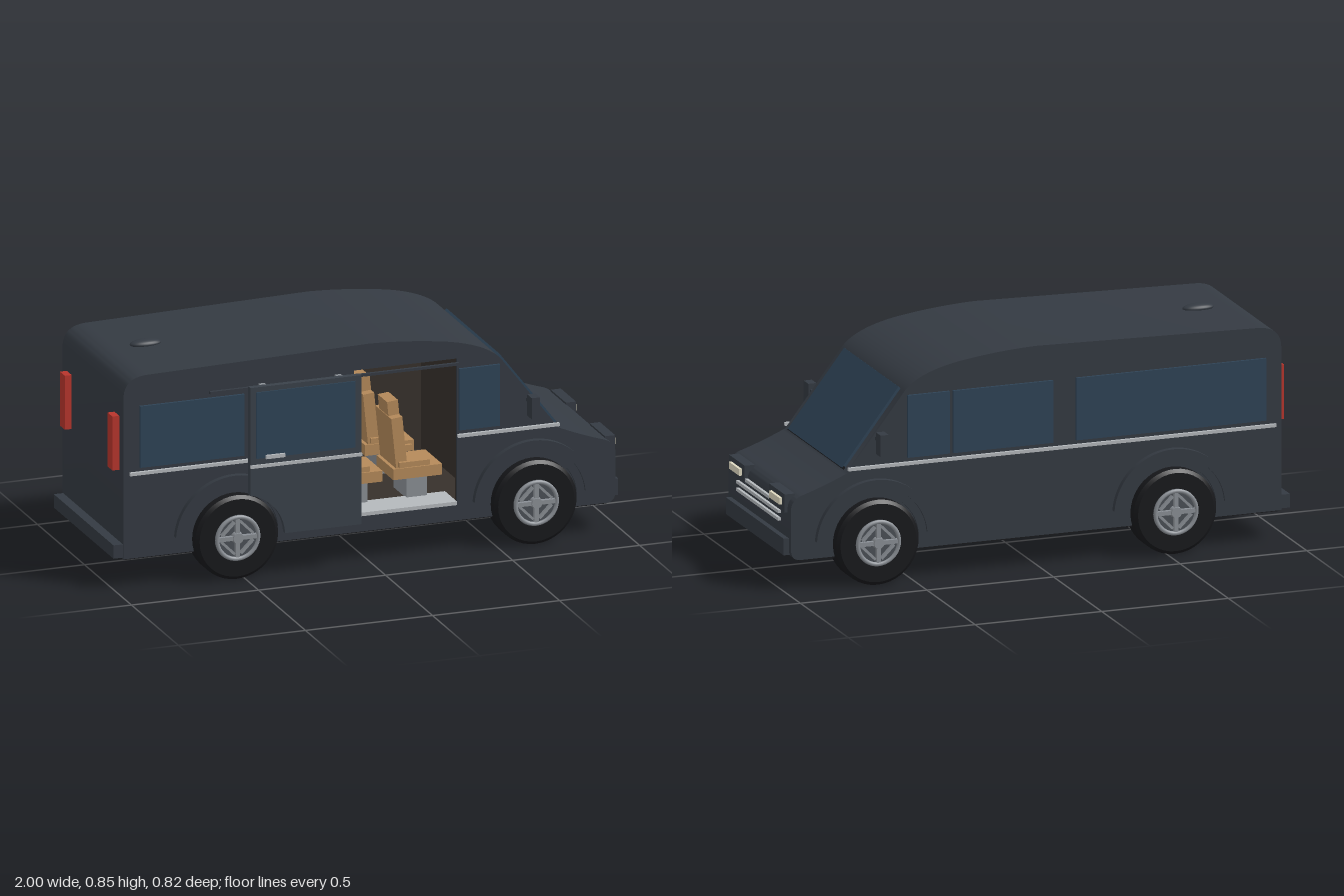
import * as THREE from 'three';
import { toCreasedNormals } from 'three/addons/utils/BufferGeometryUtils.js';

const mat = (color) => new THREE.MeshStandardMaterial({ color });
const paint = mat(0x343a42), glass = mat(0x2e4356), chrome = mat(0xb4b8bc), black = mat(0x17181b);
const tan = mat(0xb58a5a), brown = mat(0x37312b), red = mat(0xb8352c), cream = mat(0xded8c0);
const grey = mat(0x8a8f95), doorPaint = mat(0x3a414a);
const W = 0.324; // half width of the body

export function createModel() {
  const van = new THREE.Group();
  van.name = 'van';
  const body = new THREE.Group();
  body.name = 'vanBody';
  body.position.z = -0.009;
  van.add(body);

  function add(name, geometry, material, parent = body) {
    const m = new THREE.Mesh(geometry, material);
    m.name = name;
    parent.add(m);
    return m;
  }
  // Box given by its limits on each axis
  function box(name, x0, x1, y0, y1, z0, z1, material, parent = body) {
    const m = add(name, new THREE.BoxGeometry(x1 - x0, y1 - y0, Math.abs(z1 - z0)), material, parent);
    m.position.set((x0 + x1) / 2, (y0 + y1) / 2, (z0 + z1) / 2);
    return m;
  }
  // Side-view shape extruded between two z values
  function slab(name, shape, z0, z1, material, parent = body) {
    const g = new THREE.ExtrudeGeometry(shape, { depth: z1 - z0, bevelEnabled: false, curveSegments: 16 });
    g.translate(0, 0, z0);
    return add(name, toCreasedNormals(g, 0.5), material, parent);
  }
  const rect = (x0, x1, y0, y1, Type = THREE.Shape) => new Type([
    [x0, y0], [x1, y0], [x1, y1], [x0, y1]].map(([x, y]) => new THREE.Vector2(x, y)));

  // Side profile of the whole shell
  function profile() {
    const s = new THREE.Shape();
    s.moveTo(-0.963, 0.115);
    s.lineTo(0.94, 0.115);
    s.quadraticCurveTo(0.973, 0.118, 0.973, 0.155);
    s.lineTo(0.973, 0.31);
    s.quadraticCurveTo(0.973, 0.345, 0.93, 0.362);
    s.quadraticCurveTo(0.84, 0.39, 0.75, 0.43);
    s.lineTo(0.53, 0.715);
    s.quadraticCurveTo(0.48, 0.785, 0.31, 0.815);
    s.quadraticCurveTo(0.15, 0.84, 0, 0.843);
    s.lineTo(-0.87, 0.823);
    s.quadraticCurveTo(-0.963, 0.82, -0.963, 0.74);
    s.closePath();
    return s;
  }

  // Shell with a hollow cabin, one closed side and one side with a doorway
  const cabin = [-0.92, 0.45, 0.18, 0.752];
  const doorway = [-0.055, 0.35, 0.18, 0.745];
  const ring = profile();
  ring.holes.push(rect(...cabin, THREE.Path));
  slab('shell', ring, -W + 0.012, W - 0.012, paint);
  slab('rightSide', profile(), -W, -W + 0.012, paint);
  const leftSide = profile();
  leftSide.holes.push(rect(...doorway, THREE.Path));
  slab('leftSide', leftSide, W - 0.012, W, paint);
  box('underside', -0.96, 0.94, 0.111, 0.12, -W + 0.004, W - 0.004, black);

  // Cabin lining
  const lining = rect(...cabin);
  lining.holes.push(rect(-0.91, 0.44, 0.186, 0.745, THREE.Path));
  slab('cabinLining', lining, -0.312, 0.312, brown);
  box('rightLining', -0.92, 0.45, 0.18, 0.75, -0.312, -0.304, brown);
  const leftLining = rect(...cabin);
  leftLining.holes.push(rect(...doorway, THREE.Path));
  slab('leftLining', leftLining, 0.304, 0.312, brown);
  box('cabinTrim', -0.9, 0.44, 0.664, 0.674, -0.304, -0.298, tan);
  box('doorSill', -0.053, 0.348, 0.176, 0.19, 0.2, 0.329, chrome);

  // Two rows of seats
  for (const x of [-0.035, 0.2]) for (const z of [-0.15, 0.15]) {
    const seat = new THREE.Group();
    seat.name = 'seat';
    seat.position.set(x, 0, z);
    body.add(seat);
    box('seatBase', -0.01, 0.07, 0.186, 0.27, -0.07, 0.07, grey, seat);
    box('seatCushion', -0.07, 0.122, 0.27, 0.312, -0.09, 0.09, tan, seat);
    const back = box('seatBack', -0.066, -0.022, 0.3, 0.51, -0.085, 0.085, tan, seat);
    back.rotation.z = 0.1;
    const head = box('headrest', -0.077, -0.034, 0.505, 0.565, -0.05, 0.05, tan, seat);
    head.rotation.z = 0.1;
    for (const s of [-1, 1]) box('armrest', -0.05, 0.07, 0.318, 0.338, s * 0.086, s * 0.1, tan, seat);
  }

  // Side windows
  const pane = (x0, x1, side) => box('sideWindow', x0, x1, 0.467, 0.706, side * (W - 0.002), side * (W + 0.01), glass);
  pane(-0.9, -0.49, 1);
  pane(0.355, 0.515, 1);
  pane(-0.9, -0.15, -1);
  pane(-0.06, 0.335, -1);
  pane(0.35, 0.515, -1);

  // Windshield laid on the sloping front
  const shield = add('windshield', new THREE.BoxGeometry(0.365, 0.014, 0.564), glass);
  shield.position.set(0.639, 0.58, 0);
  shield.rotation.z = -Math.atan2(0.285, 0.22);
  const seal = add('windshieldSeal', new THREE.BoxGeometry(0.012, 0.016, 0.564), black);
  seal.position.set(0.747, 0.437, 0);
  seal.rotation.z = shield.rotation.z;

  // Waistline trim
  const trim = (x0, x1, side) => box('waistTrim', x0, x1, 0.439, 0.451, side * W, side * (W + 0.012), chrome);
  trim(-0.94, 0.75, -1);
  trim(-0.94, -0.055, 1);
  trim(0.35, 0.75, 1);

  // Sliding door, open, cut around the rear wheel
  const wheelY = 0.163, rearX = -0.53, frontX = 0.645, cut = 0.174;
  const door = new THREE.Group();
  door.name = 'slidingDoor';
  body.add(door);
  const panel = new THREE.Shape();
  panel.moveTo(-0.055, 0.172);
  panel.lineTo(-0.055, 0.752);
  panel.lineTo(-0.493, 0.752);
  panel.lineTo(-0.493, 0.333);
  panel.absarc(rearX, wheelY, cut, Math.acos(0.037 / cut), 0.05, true);
  panel.closePath();
  slab('doorPanel', panel, 0.38, 0.403, doorPaint, door);
  box('doorWindow', -0.47, -0.08, 0.475, 0.733, 0.401, 0.408, glass, door);
  box('doorTrim', -0.493, -0.055, 0.439, 0.451, 0.4, 0.41, chrome, door);
  box('doorHandle', -0.435, -0.36, 0.473, 0.487, 0.4, 0.418, chrome, door);
  box('doorRail', -0.63, 0.35, 0.725, 0.735, 0.335, 0.347, paint);
  for (const x of [-0.42, -0.12]) box('doorRoller', x - 0.012, x + 0.012, 0.722, 0.738, W, 0.382, grey);

  // Wheels and arches
  function arch(r0, r1) {
    const s = new THREE.Shape();
    s.absarc(0, 0, r1, 0.08, Math.PI - 0.08, false);
    s.absarc(0, 0, r0, Math.PI - 0.08, 0.08, true);
    s.closePath();
    return s;
  }
  const tyreProfile = [[0.09, -0.049], [0.15, -0.049], [0.163, -0.038], [0.163, 0.038], [0.15, 0.049], [0.09, 0.049], [0.085, 0.03]]
    .map(([x, y]) => new THREE.Vector2(x, y));
  for (const side of [-1, 1]) for (const x of [rearX, frontX]) {
    const g = new THREE.Group();
    g.name = 'wheelAssembly';
    g.position.set(x, wheelY, 0);
    if (side < 0) g.rotation.y = Math.PI;
    body.add(g);
    slab('wheelArch', arch(0.203, 0.235), W - 0.01, 0.346, paint, g);
    slab('innerArch', arch(0.172, 0.203), W - 0.01, 0.336, paint, g);
    const wheel = new THREE.Group();
    wheel.name = 'wheel';
    wheel.position.z = 0.32;
    g.add(wheel);
    const tyre = toCreasedNormals(new THREE.LatheGeometry(tyreProfile, 40), 0.6);
    add('tyre', tyre.rotateX(Math.PI / 2), black, wheel);
    add('wheelDisc', new THREE.CylinderGeometry(0.09, 0.09, 0.076, 32).rotateX(Math.PI / 2), mat(0x4b5056), wheel);
    add('rimRing', new THREE.TorusGeometry(0.081, 0.008, 8, 40), grey, wheel).position.z = 0.05;
    add('hub', new THREE.CylinderGeometry(0.02, 0.024, 0.024, 20).rotateX(Math.PI / 2), grey, wheel).position.z = 0.047;
    // Four spokes with braces between them
    for (let i = 0; i < 4; i++) {
      const spoke = new THREE.Group();
      spoke.name = 'spoke';
      spoke.rotation.z = i * Math.PI / 2;
      wheel.add(spoke);
      box('spokeBar', 0.01, 0.08, -0.008, 0.008, 0.036, 0.054, grey, spoke);
      const brace = box('spokeBrace', -0.035, 0.035, -0.005, 0.005, 0.036, 0.052, grey, spoke);
      brace.position.set(0.037, 0.037, 0.044);
      brace.rotation.z = -Math.PI / 4;
    }
  }

  // Paired lamps and mirrors
  for (const s of [-1, 1]) {
    box('headlightHousing', 0.945, 0.985, 0.292, 0.362, s * 0.127, s * 0.289, paint);
    box('headlight', 0.97, 0.996, 0.317, 0.343, s * 0.154, s * 0.262, cream);
    box('tailLight', -0.99, -0.96, 0.45, 0.66, s * 0.227, s * 0.279, red);
    box('mirrorArm', 0.622, 0.642, 0.547, 0.561, s * 0.31, s * 0.36, paint);
    box('mirror', 0.616, 0.648, 0.5, 0.583, s * 0.351, s * 0.4, paint);
  }

  // Grille bars and bumpers
  for (const [y, half] of [[0.307, 0.127], [0.277, 0.217], [0.248, 0.217]])
    box('grilleBar', 0.965, 0.984, y - 0.006, y + 0.006, -half, half, chrome);
  box('frontBumper', 0.95, 0.993, 0.132, 0.196, -0.3, 0.3, paint);
  box('rearBumper', -1, -0.955, 0.12, 0.172, -0.318, 0.318, paint);

  // Roof vent
  const vent = add('roofVent', new THREE.SphereGeometry(1, 32, 12), paint);
  vent.scale.set(0.061, 0.016, 0.029);
  vent.position.set(-0.755, 0.83, -0.006);
  return van;
}
